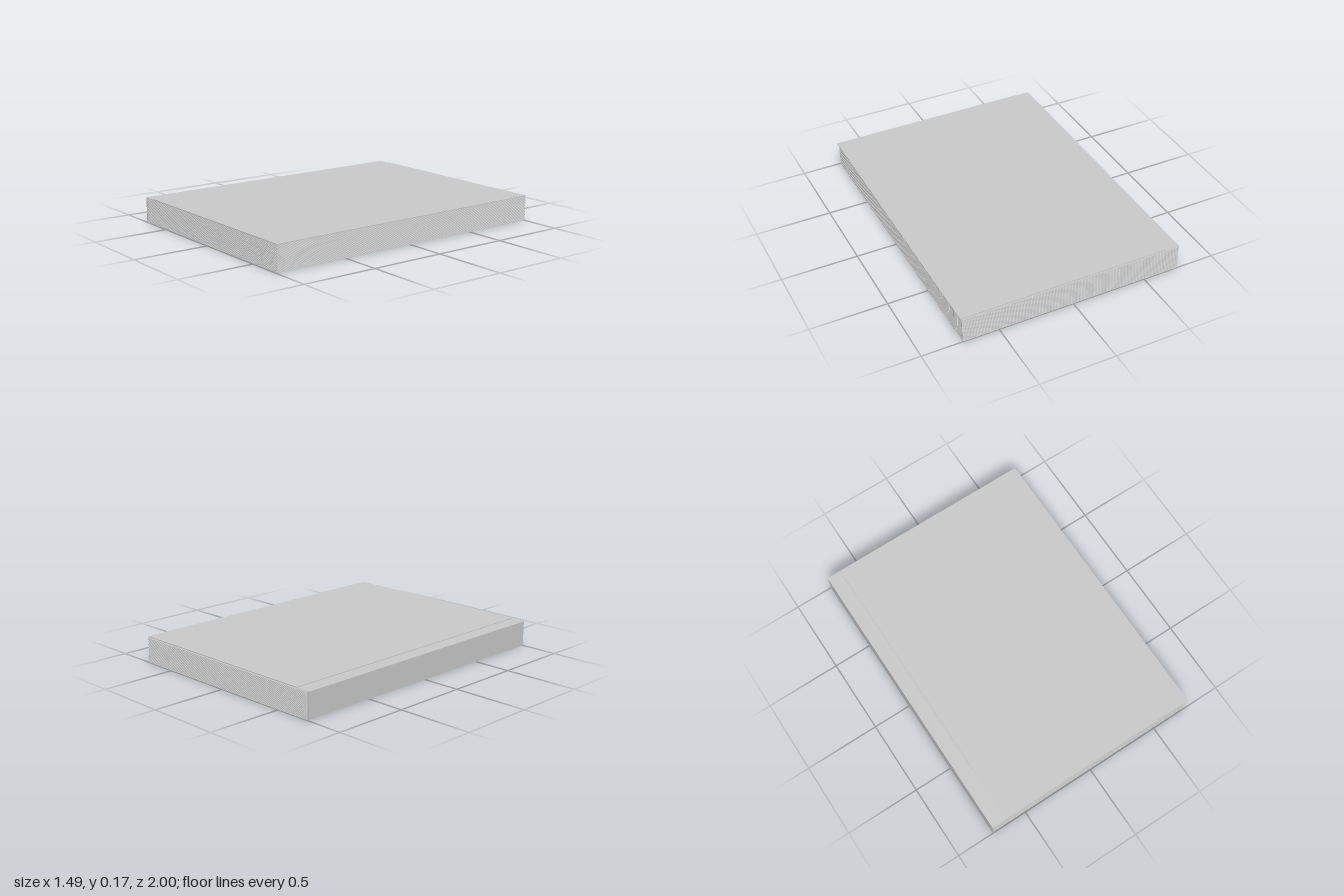
import * as THREE from 'three';

export function createModel() {
  const book = new THREE.Group();
  book.name = 'book';
  const material = new THREE.MeshStandardMaterial({ color: 0xcccccc });

  // Box given by its lower and upper corners
  function slab(name, [x0, y0, z0], [x1, y1, z1], parent = book) {
    const mesh = new THREE.Mesh(new THREE.BoxGeometry(x1 - x0, y1 - y0, z1 - z0), material);
    mesh.position.set((x0 + x1) / 2, (y0 + y1) / 2, (z0 + z1) / 2);
    mesh.name = name;
    parent.add(mesh);
  }

  // Stack of separate thin pages, slightly offset backwards from the cover
  const pages = new THREE.Group();
  pages.name = 'pages';
  book.add(pages);
  const count = 41, pitch = 0.0041, thickness = 0.002;
  for (let i = 0; i < count; i++) {
    const y = i * pitch;
    slab('page', [-0.735, y, -1], [0.735, y + thickness, 0.994], pages);
  }

  // Spine, the low hinge strip along it, and the raised front cover
  slab('spine', [-0.745, 0, -0.99], [-0.735, 0.169, 1]);
  slab('hingeStrip', [-0.745, 0.167, -0.99], [-0.645, 0.169, 1]);
  slab('cover', [-0.648, 0.168, -0.99], [0.745, 0.173, 1]);

  return book;
}
